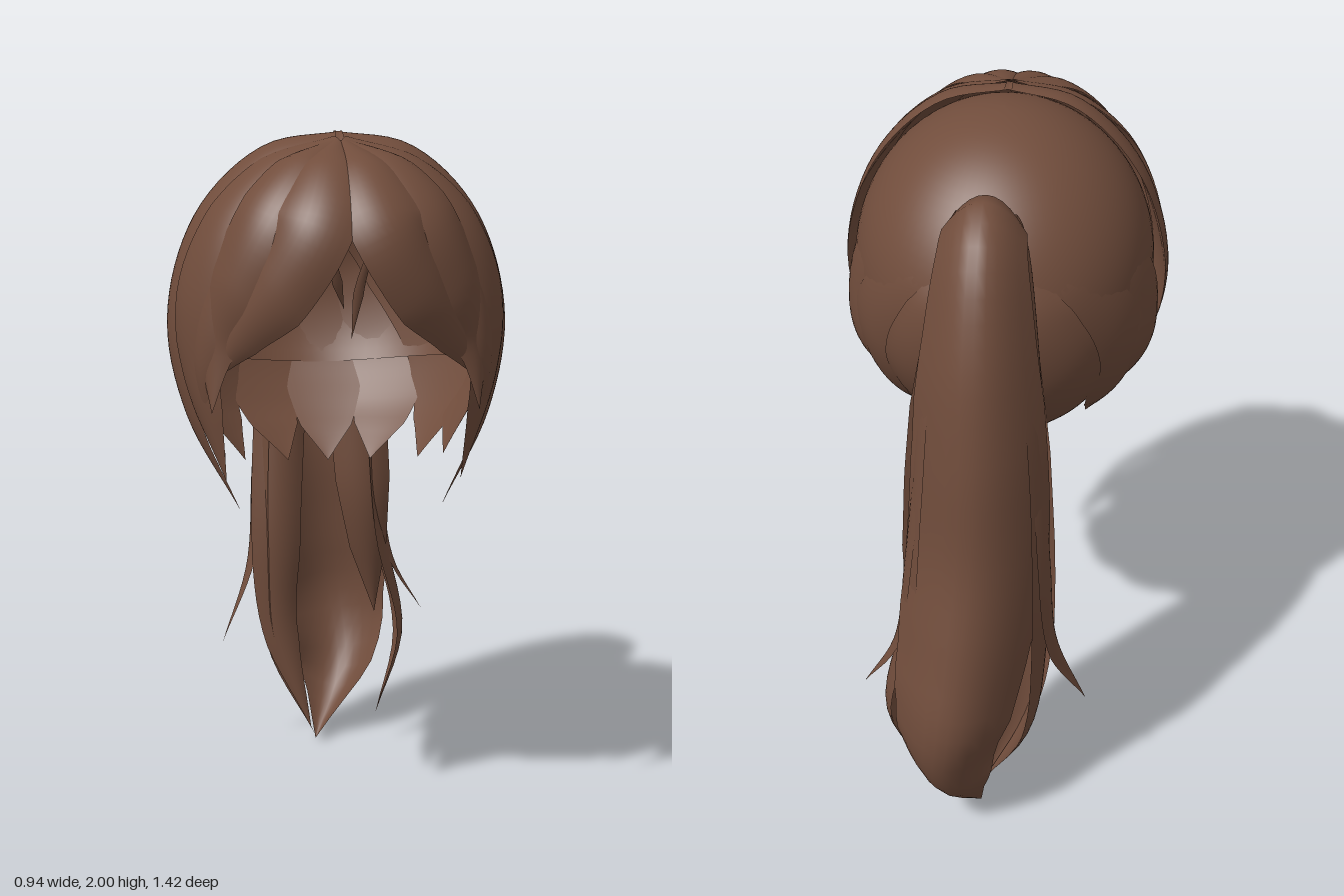
import * as THREE from 'three';

const hair = new THREE.MeshStandardMaterial({ color: 0x714d3c, side: THREE.DoubleSide });
hair.name = 'brownHair';

const HEAD = new THREE.Vector3(0, 1.5, 0.2);
const fromPoint = (c) => (p) => p.clone().sub(c);
const facing = (x, y, z) => () => new THREE.Vector3(x, y, z);
const V = (a) => new THREE.Vector3(...a);

const FAN = [0.2, 0.75, 1, 1, 0.95, 0.6, 0];
const FALL = [0.45, 0.8, 1, 1, 0.95, 0.65, 0];
const PETAL = [0.35, 0.7, 0.95, 1, 1, 0.9, 0.65, 0];

// Linear interpolation through a list of relative widths
function widthAt(profile, t) {
  const f = t * (profile.length - 1);
  const i = Math.min(Math.floor(f), profile.length - 2);
  return THREE.MathUtils.lerp(profile[i], profile[i + 1], f - i);
}

// Tapered lock: a crescent section swept along a curve, curling away from its outer side
function lock(name, points, width, { out = fromPoint(HEAD), profile = FAN, curl = 0.25, thick = 0.2 } = {}) {
  const curve = new THREE.CatmullRomCurve3(points.map(V), false, 'centripetal');
  const rows = 36, cols = 10;
  const pos = [], index = [];
  for (const layer of [0, 1]) {
    const base = pos.length / 3;
    for (let i = 0; i <= rows; i++) {
      const t = i / rows;
      const p = curve.getPointAt(t);
      const tan = curve.getTangentAt(t);
      const n = out(p).normalize();
      n.addScaledVector(tan, -n.dot(tan)).normalize();
      const s = new THREE.Vector3().crossVectors(tan, n);
      const w = Math.max(width * widthAt(profile, t), 0.0005);
      for (let j = 0; j <= cols; j++) {
        const u = (j / cols) * 2 - 1;
        const depth = curl * w * u * u + layer * thick * w * (1 - u * u);
        const q = p.clone().addScaledVector(s, w * u).addScaledVector(n, -depth);
        pos.push(q.x, q.y, q.z);
      }
    }
    for (let i = 0; i < rows; i++) {
      for (let j = 0; j < cols; j++) {
        const a = base + i * (cols + 1) + j, b = a + cols + 1;
        if (layer === 0) index.push(a, a + 1, b, a + 1, b + 1, b);
        else index.push(a, b, a + 1, a + 1, b, b + 1);
      }
    }
  }
  return shell(name, pos, index);
}

function shell(name, pos, index) {
  const g = new THREE.BufferGeometry();
  g.setAttribute('position', new THREE.Float32BufferAttribute(pos, 3));
  g.setIndex(index);
  g.computeVertexNormals();
  const m = new THREE.Mesh(g, hair);
  m.name = name;
  return m;
}

// Domed scalp shell whose hem is high over the face and lower at the nape
function scalp() {
  const rows = 28, cols = 72, pos = [], index = [];
  for (let i = 0; i <= rows; i++) {
    for (let j = 0; j < cols; j++) {
      const a = (j / cols) * Math.PI * 2, c = Math.cos(a);
      const hem = 1.34 + (c > 0 ? 0.41 : -0.06) * c * c;
      const t = (i / rows) * Math.acos((hem - 1.52) / 0.46);
      const r = Math.sin(t);
      pos.push(0.43 * r * Math.sin(a), 1.52 + 0.46 * Math.cos(t), 0.2 + (c > 0 ? 0.45 : 0.47) * r * c);
    }
  }
  for (let i = 0; i < rows; i++) {
    for (let j = 0; j < cols; j++) {
      const a = i * cols + j, a1 = i * cols + (j + 1) % cols;
      index.push(a, a + cols, a1, a1, a + cols, a1 + cols);
    }
  }
  return shell('scalp', pos, index);
}

export function createModel() {
  const model = new THREE.Group();
  model.name = 'ponytailHair';
  model.add(scalp());

  for (const k of [1, -1]) {
    const side = k > 0 ? 'left' : 'right';
    const m = (pts) => pts.map(([x, y, z]) => [x * k, y, z]);
    const add = (name, pts, w, opt) => model.add(lock(side + name, m(pts), w, opt));

    // Fringe fanning out from the parting
    add('InnerFringe', [[0.01, 1.98, 0.38], [0.05, 1.93, 0.56], [0.1, 1.79, 0.69], [0.19, 1.63, 0.68],
      [0.29, 1.49, 0.6], [0.36, 1.35, 0.51]], 0.105, { curl: 0.35 });
    add('MiddleFringe', [[0.01, 1.98, 0.38], [0.12, 1.93, 0.52], [0.22, 1.8, 0.61], [0.31, 1.62, 0.595],
      [0.36, 1.45, 0.54], [0.36, 1.27, 0.55]], 0.11, { curl: 0.35 });
    add('OuterFringe', [[0.01, 1.985, 0.37], [0.18, 1.925, 0.44], [0.32, 1.78, 0.49], [0.405, 1.58, 0.48],
      [0.4, 1.35, 0.48], [0.32, 1.07, 0.49]], 0.11);
    add('FringeWisp', [[0.2, 1.85, 0.58], [0.35, 1.6, 0.54], [0.385, 1.4, 0.52], [0.36, 1.16, 0.46]], 0.04);

    // Long lock framing the face
    add('FaceLock', [[-0.01, 1.995, 0.33], [0.2, 1.955, 0.325], [0.38, 1.78, 0.315], [0.465, 1.5, 0.31],
      [0.42, 1.23, 0.34], [0.28, 0.97, 0.4]], 0.1, { profile: [0.5, 0.75, 0.95, 1, 0.9, 0.5, 0] });

    // Hair swept back over the ears and nape
    add('EarLock', [[0.04, 1.79, -0.18], [0.26, 1.7, -0.12], [0.41, 1.5, 0.02], [0.425, 1.3, 0.08],
      [0.31, 1.08, 0.22]], 0.125, { profile: PETAL });
    add('SideNapeLock', [[0.04, 1.76, -0.2], [0.21, 1.61, -0.2], [0.35, 1.38, -0.08], [0.34, 1.2, 0.02],
      [0.25, 1.05, 0.12]], 0.13, { profile: PETAL });
    add('NapeLock', [[0.03, 1.73, -0.22], [0.12, 1.55, -0.265], [0.2, 1.35, -0.21], [0.19, 1.18, -0.11],
      [0.12, 1.03, 0.04]], 0.125, { profile: PETAL });

    // Tiny wisps under the parting
    add('PartingWisp', [[0.05, 1.7, 0.65], [0.03, 1.62, 0.62], [0.01, k > 0 ? 1.47 : 1.55, 0.58]], 0.014,
      { profile: [0.6, 1, 0] });
  }
  model.add(lock('centreNapeLock', [[0, 1.72, -0.23], [0, 1.5, -0.285], [0, 1.3, -0.24], [0, 1.15, -0.13],
    [0, 1.02, 0]], 0.12, { profile: PETAL }));

  // Ponytail: broad outer sheet arching up from the tie
  const tail = new THREE.Group();
  tail.name = 'ponytail';
  model.add(tail);
  tail.add(lock('tailOuterSheet', [[0, 1.78, -0.15], [0, 1.9, -0.22], [0, 1.95, -0.32], [0, 1.87, -0.46],
    [0, 1.62, -0.57], [0, 1.3, -0.615], [0.01, 0.95, -0.625], [0.04, 0.65, -0.675], [0.07, 0.4, -0.705],
    [0.09, 0.17, -0.62], [0, 0, -0.45]], 0.2,
  { out: fromPoint(new THREE.Vector3(0, 1, -0.3)), curl: 0.85, thick: 0.1,
    profile: [0.45, 0.55, 0.62, 0.75, 0.88, 0.95, 1, 0.97, 0.9, 0.78, 0.55, 0] }));

  // Ponytail side locks, curling at the ends
  const left = { out: facing(1, 0, 0), profile: FALL, curl: 0.4 };
  const right = { ...left, out: facing(-1, 0, 0) };
  tail.add(lock('tailRightLock', [[-0.07, 1.78, -0.19], [-0.11, 1.83, -0.3], [-0.16, 1.5, -0.41],
    [-0.19, 1.1, -0.44], [-0.19, 0.6, -0.44], [-0.15, 0.3, -0.44], [-0.01, 0.04, -0.39]], 0.1, right));
  tail.add(lock('tailLeftLock', [[0.07, 1.78, -0.19], [0.11, 1.83, -0.3], [0.16, 1.5, -0.41],
    [0.19, 1.1, -0.44], [0.22, 0.7, -0.45], [0.28, 0.36, -0.45], [0.19, 0.1, -0.4]], 0.1, left));
  tail.add(lock('tailRightFlick', [[-0.1, 1.75, -0.27], [-0.17, 1.3, -0.42], [-0.2, 0.9, -0.47],
    [-0.22, 0.6, -0.43], [-0.3, 0.36, -0.37]], 0.07, right));
  tail.add(lock('tailLeftFlick', [[0.1, 1.75, -0.27], [0.17, 1.3, -0.42], [0.21, 0.9, -0.46],
    [0.25, 0.6, -0.46], [0.34, 0.43, -0.45]], 0.07, left));

  // Ponytail inner locks facing the head
  const inner = { out: facing(0, 0, 1), profile: FALL, curl: 0.4 };
  tail.add(lock('tailInnerRight', [[-0.05, 1.76, -0.2], [-0.08, 1.6, -0.32], [-0.11, 1.2, -0.36],
    [-0.13, 0.7, -0.345], [-0.12, 0.4, -0.37], [-0.02, 0.06, -0.38]], 0.08, inner));
  tail.add(lock('tailInnerLeft', [[0.05, 1.76, -0.2], [0.08, 1.6, -0.32], [0.12, 1.2, -0.36],
    [0.15, 0.8, -0.36], [0.19, 0.42, -0.46]], 0.09, inner));
  return model;
}
